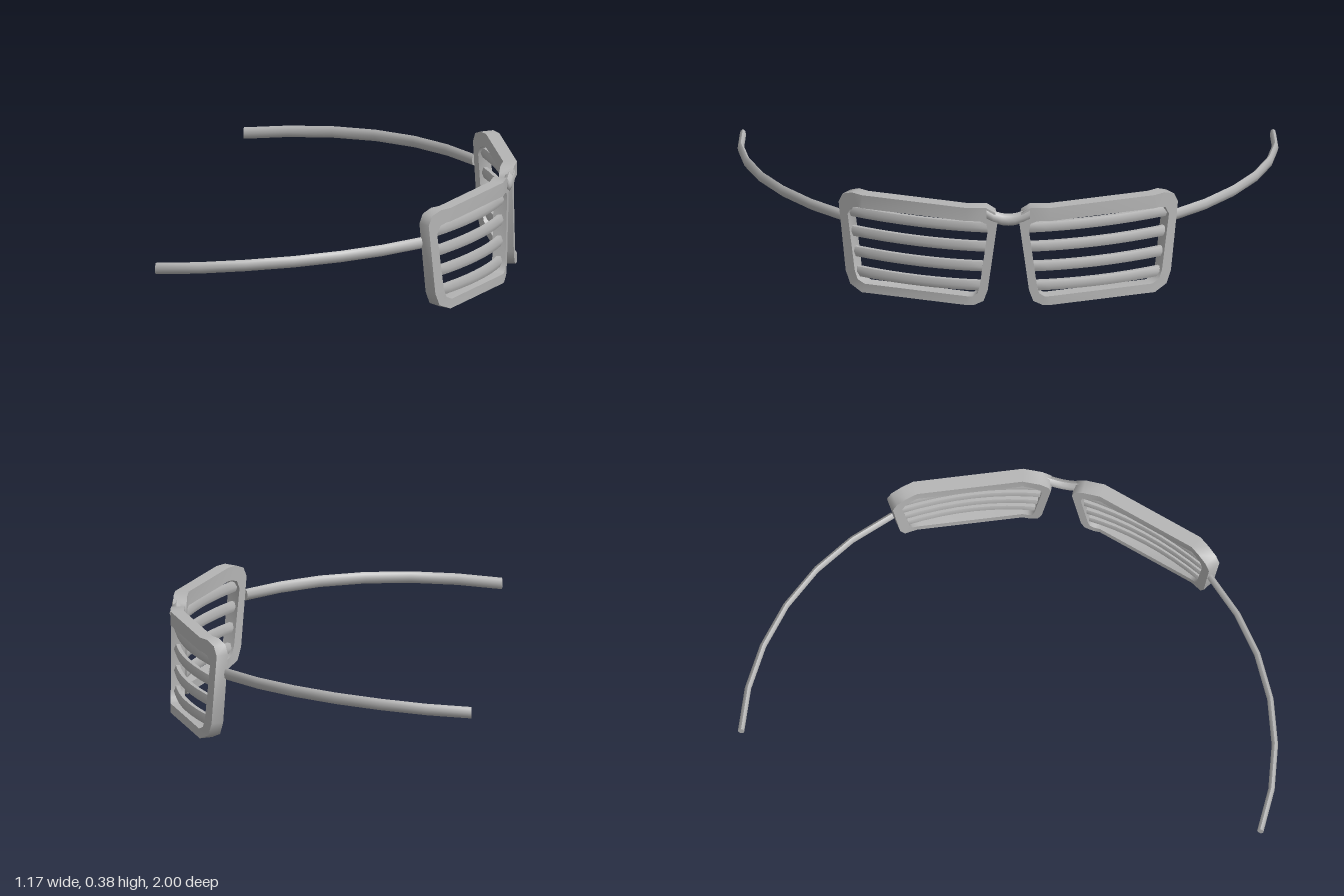
import * as THREE from 'three';
import { toCreasedNormals } from 'three/addons/utils/BufferGeometryUtils.js';

// Skin a row of equal-sized cross-sections; faces are turned outward by signed volume
function loft(sections, closed) {
  const tris = [], n = sections[0].length, m = sections.length;
  for (let i = 0; i < (closed ? m : m - 1); i++) {
    const a = sections[i], b = sections[(i + 1) % m];
    for (let j = 0; j < n; j++) {
      const k = (j + 1) % n;
      tris.push([a[j], b[j], b[k]], [a[j], b[k], a[k]]);
    }
  }
  if (!closed) {
    const s = sections[0], e = sections[m - 1];
    for (let j = 1; j < n - 1; j++) tris.push([s[0], s[j], s[j + 1]], [e[0], e[j + 1], e[j]]);
  }
  const cross = new THREE.Vector3();
  let volume = 0;
  for (const [a, b, c] of tris) volume += a.dot(cross.crossVectors(b, c));
  const points = tris.flatMap(t => (volume < 0 ? [t[0], t[2], t[1]] : t));
  return toCreasedNormals(new THREE.BufferGeometry().setFromPoints(points), 0.85);
}

// Elliptical bar along a path; w is horizontal and h vertical half-size
function bar(path, w, h, sides) {
  return loft(path.map((p, i) => {
    const t = path[Math.min(i + 1, path.length - 1)].clone().sub(path[Math.max(i - 1, 0)]);
    const out = new THREE.Vector3(t.z, 0, -t.x).normalize();
    return Array.from({ length: sides }, (_, j) => {
      const a = (j / sides) * Math.PI * 2;
      return p.clone().addScaledVector(out, w * Math.cos(a))
        .add(new THREE.Vector3(0, h * Math.sin(a), 0));
    });
  }), false);
}

// Wrap of the front: z, middle x, outward normal x and z
const WRAP = [[0.04, 0.554, 1, 0], [0.15, 0.552, 0.99, 0.16], [0.53, 0.423, 0.88, 0.47], [0.612, 0.358, 0.79, 0.61]];
function wrap(z, y, depth, side) {
  let i = 0;
  while (i < 2 && z > WRAP[i + 1][0]) i++;
  const a = WRAP[i], b = WRAP[i + 1], t = (z - a[0]) / (b[0] - a[0]);
  const [x, nx, nz] = [1, 2, 3].map(k => a[k] + (b[k] - a[k]) * t);
  return new THREE.Vector3(x + nx * depth, y, side * (z + nz * depth));
}

// Rim outline: outer z, y and inner z, y
const RIM = [
  [0.04, 0.33, 0.075, 0.295], [0.048, 0.365, 0.08, 0.322], [0.08, 0.385, 0.105, 0.333],
  [0.15, 0.385, 0.15, 0.333], [0.53, 0.385, 0.53, 0.333],
  [0.565, 0.385, 0.545, 0.333], [0.598, 0.37, 0.568, 0.325], [0.612, 0.335, 0.58, 0.295],
  [0.587, 0.07, 0.555, 0.08], [0.571, 0.022, 0.545, 0.048], [0.53, 0, 0.52, 0.035],
  [0.15, 0, 0.15, 0.035],
  [0.125, 0, 0.13, 0.035], [0.09, 0.017, 0.111, 0.047], [0.075, 0.06, 0.103, 0.08],
];

// Temple path: x, y, z
const TEMPLE = [
  [0.343, 0.262, 0.6], [0.22, 0.261, 0.727], [0.08, 0.259, 0.832], [-0.08, 0.254, 0.914],
  [-0.25, 0.246, 0.966], [-0.42, 0.235, 0.988], [-0.586, 0.223, 0.98],
];

export function createModel() {
  const model = new THREE.Group();
  model.name = 'shutterGlasses';
  const grey = new THREE.MeshStandardMaterial({ color: 0xb4b4b4 });
  grey.name = 'plainGrey';
  const add = (name, geometry) => {
    const mesh = new THREE.Mesh(geometry, grey);
    mesh.name = name;
    model.add(mesh);
  };

  for (const side of [1, -1]) {
    const label = side > 0 ? 'PlusZ' : 'MinusZ';

    // Rim
    const d = 0.0255;
    add('rim' + label, loft(RIM.map(([oz, oy, iz, iy]) => [
      wrap(oz, oy, d, side), wrap(iz, iy, d, side), wrap(iz, iy, -d, side), wrap(oz, oy, -d, side),
    ]), true));

    // Shutter slats, bowed gently within the rim
    [0.07, 0.146, 0.224, 0.30].forEach((y, i) => {
      const z0 = 0.09 - i * 0.006, z1 = 0.56 + i * 0.008, path = [];
      for (let k = 0; k <= 8; k++) {
        const t = k / 8;
        const p = new THREE.Vector3().lerpVectors(wrap(z0, y, 0, side), wrap(z1, y, 0, side), t);
        p.x += 0.11 * t * (1 - t);
        path.push(p);
      }
      add('slat' + label + (i + 1), bar(path, 0.015, 0.022, 6));
    });

    // Temple arm
    add('temple' + label, bar(TEMPLE.map(([x, y, z]) => new THREE.Vector3(x, y, side * z)), 0.012, 0.022, 8));
  }

  // Nose bridge, dipping in the middle
  const bridge = [-0.08, -0.055, -0.025, 0, 0.025, 0.055, 0.08].map(z =>
    new THREE.Vector3(0.565, 0.334 + 4 * z * z, z));
  add('bridge', bar(bridge, 0.019, 0.024, 8));

  return model;
}
